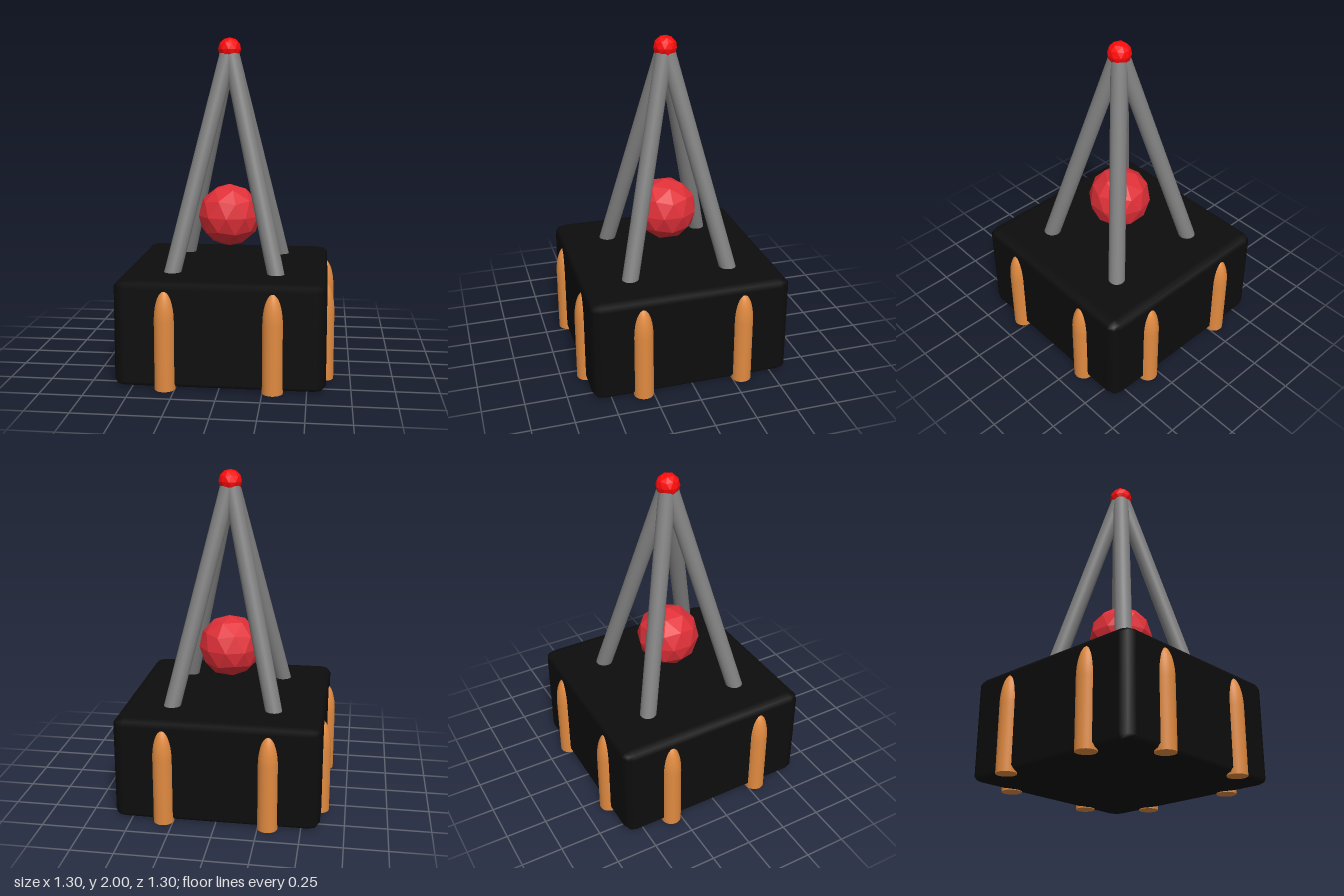
import * as THREE from 'three';
import { RoundedBoxGeometry } from 'three/addons/geometries/RoundedBoxGeometry.js';

const mat = (color, flatShading = false) => new THREE.MeshStandardMaterial({ color, flatShading });

export function createModel() {
  const model = new THREE.Group();
  const black = mat(0x0d0d0d);
  const copper = mat(0xe08a40);
  const grey = mat(0x808080);

  const add = (name, geometry, material, x = 0, y = 0, z = 0) => {
    const mesh = new THREE.Mesh(geometry, material);
    mesh.name = name;
    mesh.position.set(x, y, z);
    model.add(mesh);
    return mesh;
  };

  // Base block: a bevelled cube squashed in height
  const block = new RoundedBoxGeometry(1.216, 1.216, 1.216, 1, 0.065);
  block.scale(1, 0.506, 1);
  add('base', block, black, 0, 0.312, 0);

  // Round-nosed studs, two on each side of the base
  const profile = [new THREE.Vector2(0, 0), new THREE.Vector2(0.06, 0), new THREE.Vector2(0.06, 0)];
  for (let i = 0; i <= 10; i++) {
    const a = (i / 10) * Math.PI / 2;
    profile.push(new THREE.Vector2(0.06 * Math.cos(a), 0.4 + 0.18 * Math.sin(a)));
  }
  const stud = new THREE.LatheGeometry(profile, 32);
  for (let side = 0; side < 4; side++) {
    for (const s of [-0.307, 0.307]) {
      const p = new THREE.Vector3(s, 0, 0.592).applyAxisAngle(new THREE.Vector3(0, 1, 0), side * Math.PI / 2);
      add('stud', stud, copper, p.x, p.y, p.z);
    }
  }

  // Four struts leaning in to the apex
  const up = new THREE.Vector3(0, 1, 0);
  const apex = new THREE.Vector3(0, 1.94, 0);
  for (const sx of [-1, 1]) {
    for (const sz of [-1, 1]) {
      const foot = new THREE.Vector3(0.322 * sx, 0.55, 0.322 * sz);
      const dir = apex.clone().sub(foot);
      const mid = foot.clone().add(apex).multiplyScalar(0.5);
      const strut = add('strut', new THREE.CylinderGeometry(0.05, 0.05, dir.length(), 32), grey, mid.x, mid.y, mid.z);
      strut.quaternion.setFromUnitVectors(up, dir.normalize());
    }
  }

  // Faceted balls, turned so that a vertex points straight up
  const ball = (radius) => new THREE.IcosahedronGeometry(radius, 1).rotateZ(-Math.atan(2 / (1 + Math.sqrt(5))));
  add('core', ball(0.193), mat(0xe03038, true), 0, 0.918, 0);
  add('apexBall', ball(0.071), mat(0xff0a0a, true), 0, 1.929, 0);

  return model;
}
